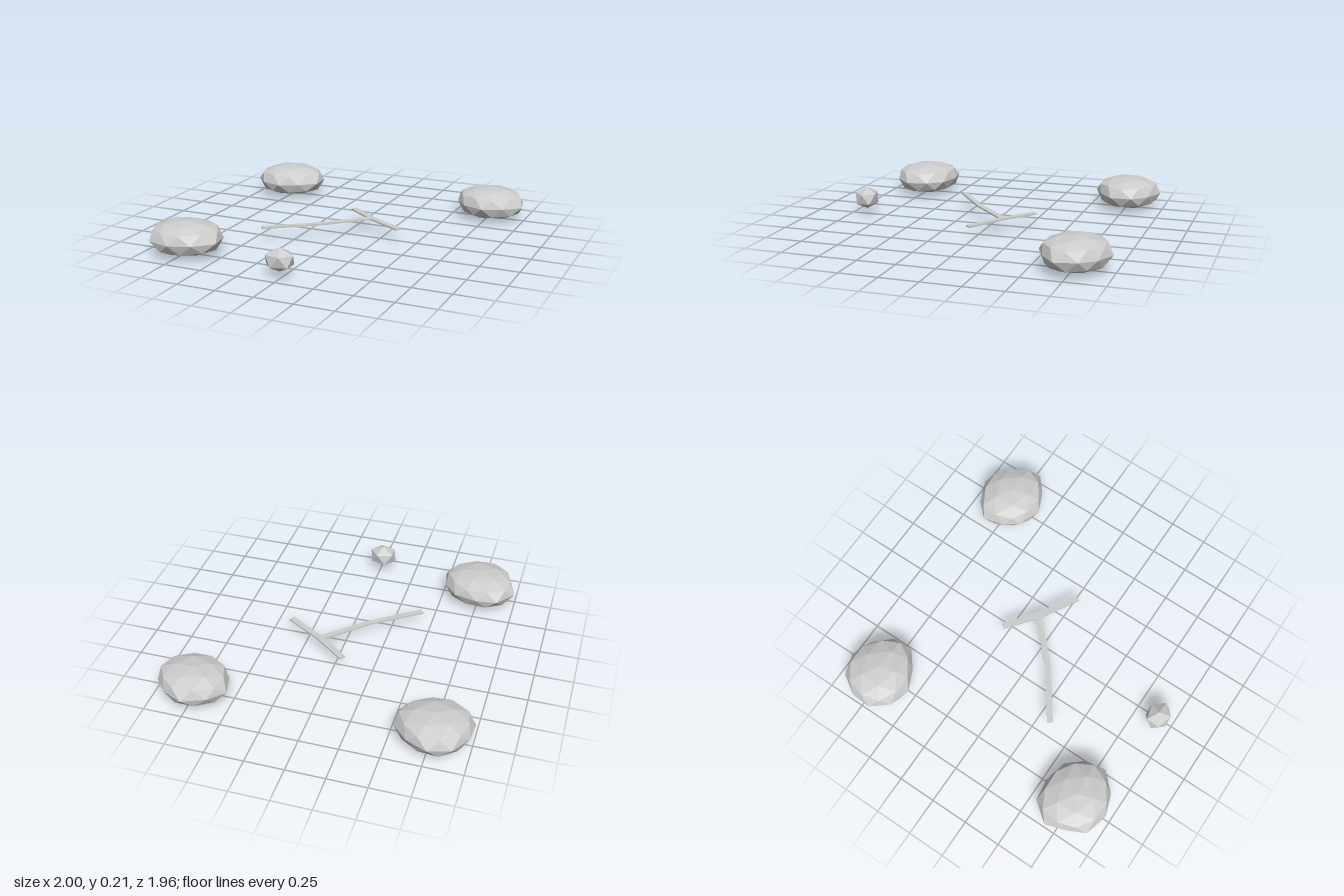
import * as THREE from 'three';

const grey = new THREE.MeshStandardMaterial({ color: 0xcccccc });
grey.name = 'stone grey';
grey.flatShading = true;

// Unit icosphere standing on a vertex, with one upper-ring vertex towards +x
function icosphere(detail) {
  const geo = new THREE.IcosahedronGeometry(1, detail);
  geo.rotateX(-Math.atan((1 + Math.sqrt(5)) / 2));
  geo.rotateY(Math.PI / 2);
  return geo;
}

// Flattened rock: ten equator points (x, z) starting at 18 degrees shape the plan
function rock(name, cx, cz, outline) {
  const geo = icosphere(1);
  const pos = geo.attributes.position;
  const step = Math.PI / 5;
  for (let i = 0; i < pos.count; i++) {
    const x = pos.getX(i), y = pos.getY(i), z = pos.getZ(i);
    const r = Math.hypot(x, z);
    const turn = Math.round(((Math.atan2(z, x) - step / 2) / step + 20) * 1e4) / 1e4;
    const k = Math.floor(turn), t = turn - k;
    const [ax, az] = outline[k % 10], [bx, bz] = outline[(k + 1) % 10];
    const reach = r * (1 + 0.2 * t * (1 - t));
    pos.setXYZ(i,
      cx + reach * (ax + (bx - ax) * t - cx),
      0.109 + 0.106 * Math.sign(y) * Math.abs(y) ** 0.82,
      cz + reach * (az + (bz - az) * t - cz));
  }
  geo.computeVertexNormals();
  const mesh = new THREE.Mesh(geo, grey);
  mesh.name = name;
  return mesh;
}

export function createModel() {
  const group = new THREE.Group();
  group.name = 'rocksAndTwig';

  // Three large rocks
  group.add(
    rock('backRightRock', -0.77, -0.755, [
      [-0.53, -0.68], [-0.64, -0.59], [-0.77, -0.53], [-0.91, -0.57], [-1, -0.68],
      [-0.99, -0.81], [-0.91, -0.935], [-0.77, -0.98], [-0.63, -0.92], [-0.535, -0.82]]),
    rock('backLeftRock', 0.757, -0.765, [
      [1, -0.69], [0.89, -0.6], [0.76, -0.545], [0.62, -0.6], [0.55, -0.69],
      [0.515, -0.83], [0.61, -0.925], [0.757, -0.985], [0.89, -0.925], [0.97, -0.83]]),
    rock('frontRightRock', -0.75, 0.755, [
      [-0.5, 0.81], [-0.61, 0.92], [-0.75, 0.97], [-0.9, 0.93], [-0.96, 0.805],
      [-1, 0.68], [-0.9, 0.555], [-0.76, 0.535], [-0.61, 0.57], [-0.525, 0.67]]));

  // Small pebble
  const pebbleGeo = icosphere(0).scale(0.1, 0.075, 0.085);
  pebbleGeo.computeVertexNormals();
  const pebble = new THREE.Mesh(pebbleGeo, grey);
  pebble.name = 'pebble';
  pebble.position.set(-0.015, 0.111, 0.9);
  group.add(pebble);

  // Thin forked strip, drawn in plan as (x, z)
  const plan = [
    [-0.07, -0.265], [-0.045, -0.295], [0.16, -0.135], [0.395, 0.005], [0.375, 0.04], [0.14, -0.1],
    [-0.105, 0.13], [-0.42, 0.36], [-0.445, 0.33], [-0.135, 0.11], [0.105, -0.125]];
  const shape = new THREE.Shape(plan.map(([x, z]) => new THREE.Vector2(x, -z)));
  const stripGeo = new THREE.ExtrudeGeometry(shape, { depth: 0.011, bevelEnabled: false });
  stripGeo.rotateX(-Math.PI / 2);
  const strip = new THREE.Mesh(stripGeo, grey);
  strip.name = 'forkedStrip';
  strip.position.y = 0.083;
  group.add(strip);

  return group;
}
